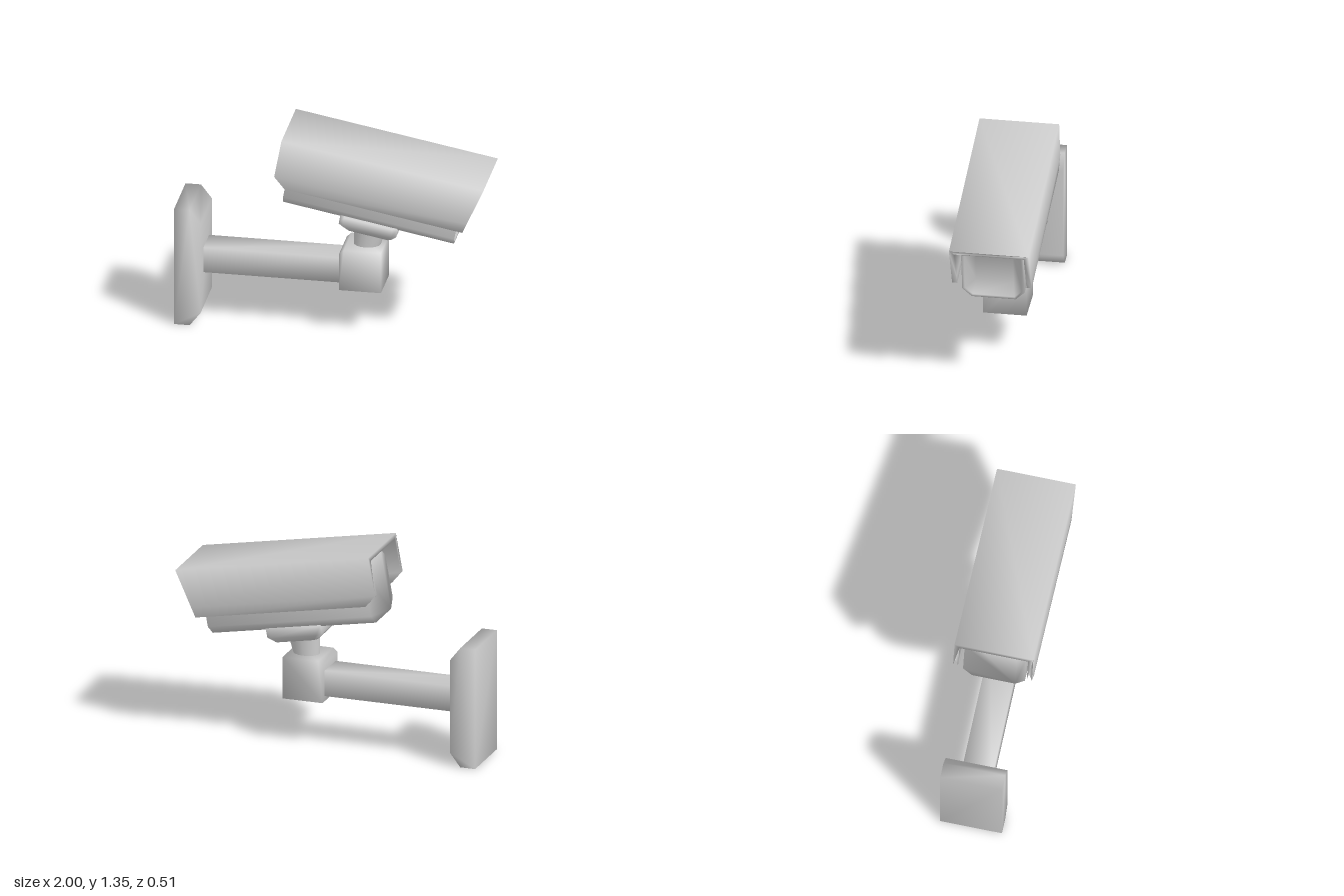
import * as THREE from 'three';
import { mergeVertices } from 'three/addons/utils/BufferGeometryUtils.js';

const material = new THREE.MeshStandardMaterial({ color: 0xcccccc });

// Shares vertices so that normals blend softly over the low-poly edges
function smooth(geometry) {
  geometry.deleteAttribute('normal');
  geometry.deleteAttribute('uv');
  const merged = mergeVertices(geometry, 1e-4);
  merged.computeVertexNormals();
  return merged;
}

function addPart(parent, name, geometry) {
  const mesh = new THREE.Mesh(geometry, material);
  mesh.name = name;
  parent.add(mesh);
  return mesh;
}

// Extrudes an outline of [x, y] points along z
function extrude(points, depth) {
  const shape = new THREE.Shape(points.map(([x, y]) => new THREE.Vector2(x, y)));
  return new THREE.ExtrudeGeometry(shape, { depth, bevelEnabled: false });
}

const prism = (points, width) => smooth(extrude(points, width).translate(0, 0, -width / 2));

// Joins chamfered rectangles along z; ring = [z, x0, x1, y0, y1, chamfer]
function loft(rings) {
  const positions = [], index = [];
  for (const [z, x0, x1, y0, y1, c] of rings) {
    const outline = [
      [x0 + c, y0], [x1 - c, y0], [x1, y0 + c], [x1, y1 - c],
      [x1 - c, y1], [x0 + c, y1], [x0, y1 - c], [x0, y0 + c],
    ];
    for (const [x, y] of outline) positions.push(x, y, z);
  }
  const last = (rings.length - 1) * 8;
  for (let r = 0; r < last; r += 8) {
    for (let j = 0; j < 8; j++) {
      const a = r + j, b = r + (j + 1) % 8;
      index.push(a, b, b + 8, a, b + 8, a + 8);
    }
  }
  for (let j = 1; j < 7; j++) {
    index.push(0, j + 1, j, last, last + j, last + j + 1);
  }
  const geometry = new THREE.BufferGeometry();
  geometry.setAttribute('position', new THREE.Float32BufferAttribute(positions, 3));
  geometry.setIndex(index);
  return smooth(geometry);
}

// Sun hood: a U section whose two ends are cut to slanted profiles
function hoodGeometry() {
  const top = 0.464, under = 0.435, kink = 0.21, low = 0.143;
  const outer = 0.255, inner = 0.222;
  const geometry = extrude([
    [-outer, low], [-inner, low], [-inner, kink], [-inner, under],
    [inner, under], [inner, kink], [inner, low], [outer, low],
    [outer, kink], [outer, top], [-outer, top], [-outer, kink],
  ], 1);
  const p = geometry.attributes.position;
  for (let i = 0; i < p.count; i++) {
    const y = p.getY(i);
    const rear = THREE.MathUtils.mapLinear(Math.min(y, kink), low, kink, 0.004, -0.075);
    const front = THREE.MathUtils.mapLinear(y, low, top, 1.168, 1.247);
    p.setZ(i, THREE.MathUtils.lerp(rear, front, p.getZ(i)));
  }
  return smooth(geometry.rotateY(Math.PI / 2));
}

// Swivel post: a round stub widening toward a tilted top
function postGeometry() {
  const geometry = new THREE.CylinderGeometry(1, 1, 1, 16, 1, true);
  const p = geometry.attributes.position;
  for (let i = 0; i < p.count; i++) {
    const t = p.getY(i) + 0.5;
    const x = THREE.MathUtils.lerp(0.205, 0.225, t) + p.getX(i) * THREE.MathUtils.lerp(0.085, 0.105, t);
    p.setXYZ(i, x, t ? 0.745 - 0.18 * x : 0.56, p.getZ(i) * 0.07);
  }
  return smooth(geometry);
}

export function createModel() {
  const model = new THREE.Group();
  model.name = 'securityCamera';

  // Wall mount
  addPart(model, 'wallPlate', prism([
    [-1, 0], [-0.9, 0], [-0.83, 0.09], [-0.83, 0.71], [-0.9, 0.8], [-1, 0.8],
  ], 0.4));
  addPart(model, 'arm', smooth(new THREE.BoxGeometry(0.92, 0.17, 0.2))).position.set(-0.39, 0.415, 0);
  addPart(model, 'jointBlock', prism([
    [0.05, 0.295], [0.32, 0.295], [0.32, 0.572], [0.08, 0.572], [0.05, 0.545],
  ], 0.28));
  addPart(model, 'swivelPost', postGeometry());

  // Tilted camera head, measured from the lower rear edge of its housing
  const head = new THREE.Group();
  head.name = 'cameraHead';
  head.position.set(-0.31, 0.88, 0);
  head.rotation.z = THREE.MathUtils.degToRad(-10.4);
  model.add(head);

  // Housing with a recessed window at the front
  addPart(head, 'housing', loft([
    [0, -0.2, 0.2, 0, 0.4, 0.06],
    [1.118, -0.2, 0.2, 0, 0.4, 0.06],
    [1.118, -0.182, 0.182, 0.018, 0.382, 0.05],
    [1.05, -0.12, 0.12, 0.088, 0.312, 0],
  ]).rotateY(Math.PI / 2));

  // Bevelled foot under the housing
  addPart(head, 'mountFoot', loft([
    [-0.01, 0.375, 0.75, -0.18, 0.18, 0.03],
    [0.05, 0.375, 0.75, -0.18, 0.18, 0.03],
    [0.093, 0.425, 0.72, -0.13, 0.13, 0.02],
  ]).rotateX(Math.PI / 2));

  addPart(head, 'sunHood', hoodGeometry());
  return model;
}
